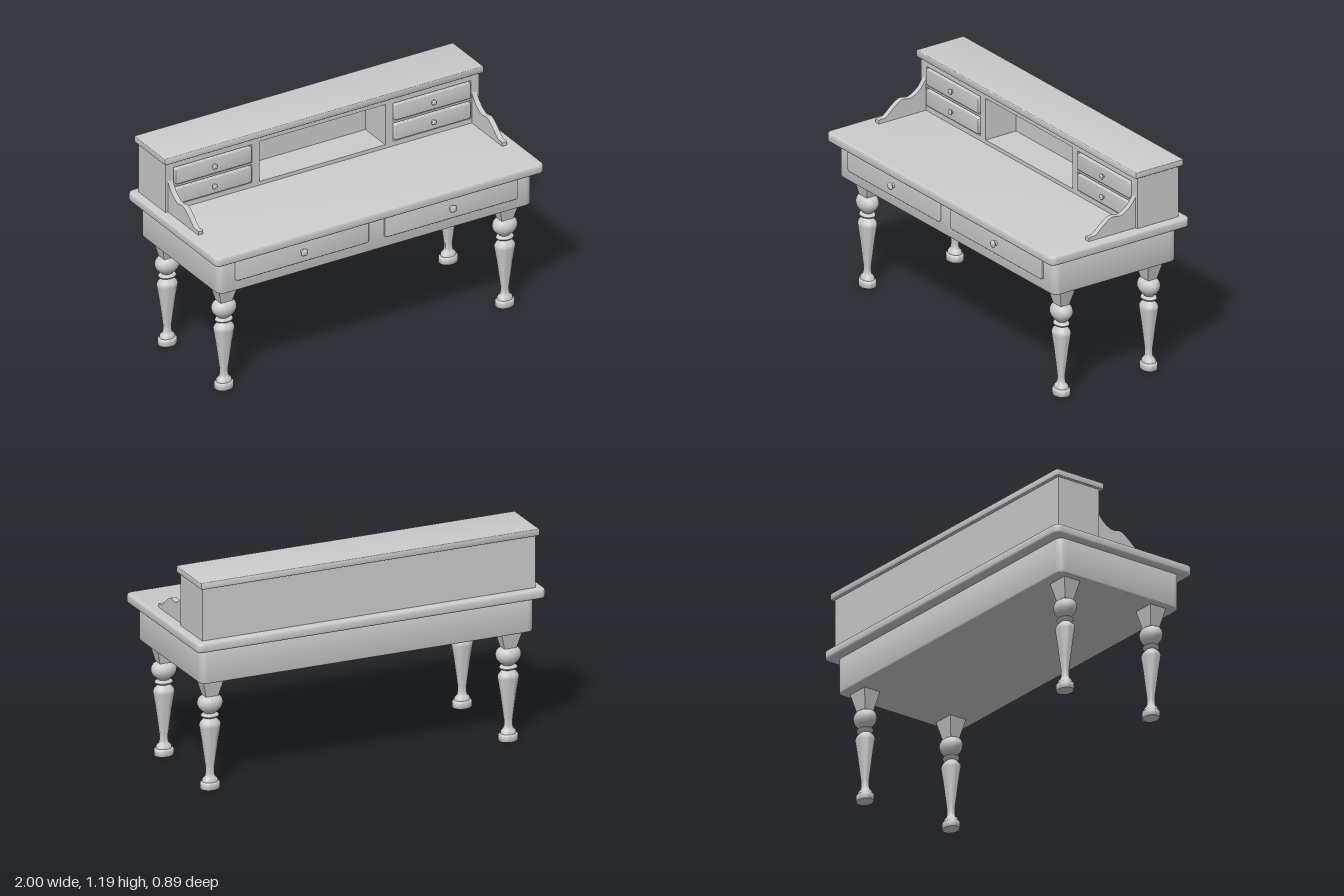
import * as THREE from 'three';
import { toCreasedNormals } from 'three/addons/utils/BufferGeometryUtils.js';

const material = new THREE.MeshStandardMaterial({ color: 0xcccccc });

function add(parent, name, geometry, x = 0, y = 0, z = 0) {
  const mesh = new THREE.Mesh(geometry, material);
  mesh.name = name;
  mesh.position.set(x, y, z);
  parent.add(mesh);
  return mesh;
}

// Box between two limits on each axis
function block(parent, name, x0, x1, y0, y1, z0, z1) {
  return add(parent, name, new THREE.BoxGeometry(x1 - x0, y1 - y0, z1 - z0),
    (x0 + x1) / 2, (y0 + y1) / 2, (z0 + z1) / 2);
}

// Centred slab along z with rounded corners and softened edges
function slab(w, h, d, r, bevel) {
  const x = w / 2 - bevel, y = h / 2 - bevel;
  const s = new THREE.Shape();
  s.moveTo(-x + r, -y);
  s.lineTo(x - r, -y);
  s.quadraticCurveTo(x, -y, x, -y + r);
  s.lineTo(x, y - r);
  s.quadraticCurveTo(x, y, x - r, y);
  s.lineTo(-x + r, y);
  s.quadraticCurveTo(-x, y, -x, y - r);
  s.lineTo(-x, -y + r);
  s.quadraticCurveTo(-x, -y, -x + r, -y);
  const geo = new THREE.ExtrudeGeometry(s, {
    depth: d - 2 * bevel, bevelThickness: bevel, bevelSize: bevel, bevelSegments: 3, curveSegments: 6,
  });
  geo.translate(0, 0, bevel - d / 2);
  return toCreasedNormals(geo, 0.7);
}

function lathe(points, segments) {
  const geo = new THREE.LatheGeometry(points.map(([r, y]) => new THREE.Vector2(r, y)), segments);
  return toCreasedNormals(geo.toNonIndexed(), 0.75);
}

function rectHole(x0, x1, y0, y1) {
  const p = new THREE.Path();
  p.moveTo(x0, y0);
  p.lineTo(x0, y1);
  p.lineTo(x1, y1);
  p.lineTo(x1, y0);
  p.closePath();
  return p;
}

const knobGeo = lathe([[0, 0], [0.014, 0], [0.013, 0.004], [0.008, 0.008], [0.008, 0.013], [0.018, 0.017],
  [0.021, 0.021], [0.019, 0.025], [0.011, 0.029], [0, 0.031]], 20).rotateX(Math.PI / 2);

// Drawer front with a centred knob
function drawer(parent, name, x, y, zBack, zFront, w, h, knobScale) {
  const g = new THREE.Group();
  g.name = name;
  add(g, 'drawerFront', slab(w, h, zFront - zBack, 0.01, 0.006), x, y, (zBack + zFront) / 2);
  add(g, 'knob', knobGeo, x, y, zFront - 0.002).scale.setScalar(knobScale);
  parent.add(g);
}

// Turned leg outline from foot to bulb
const legGeo = lathe([
  [0, 0], [0.041, 0], [0.043, 0.004], [0.043, 0.033], [0.04, 0.038],
  [0.034, 0.04], [0.034, 0.052], [0.029, 0.06], [0.022, 0.068], [0.019, 0.085], [0.019, 0.115],
  [0.026, 0.18], [0.036, 0.27], [0.046, 0.345], [0.047, 0.355], [0.043, 0.367], [0.032, 0.382], [0.024, 0.39],
  [0.03, 0.393], [0.037, 0.397], [0.04, 0.404], [0.037, 0.411], [0.03, 0.415], [0.024, 0.417],
  [0.027, 0.422], [0.04, 0.434], [0.05, 0.449], [0.055, 0.464], [0.056, 0.477], [0.053, 0.493],
  [0.046, 0.505], [0.034, 0.514], [0, 0.516]], 32);

// Square block tapering down to the turning
const legBlockGeo = new THREE.CylinderGeometry(0.051 * Math.SQRT2, 0.028 * Math.SQRT2, 0.11, 4, 1)
  .toNonIndexed().rotateY(Math.PI / 4);
legBlockGeo.computeVertexNormals();

export function createModel() {
  const desk = new THREE.Group();
  desk.name = 'writingDesk';

  // Legs, slightly wider across than deep
  for (const sx of [-1, 1]) for (const sz of [-1, 1]) {
    const leg = new THREE.Group();
    leg.name = sz > 0 ? 'frontLeg' : 'backLeg';
    add(leg, 'turnedLeg', legGeo);
    add(leg, 'legBlock', legBlockGeo, 0, 0.569, 0);
    leg.position.set(sx * 0.855, 0, sz * 0.28);
    leg.scale.x = 1.25;
    desk.add(leg);
  }

  // Apron and writing surface
  add(desk, 'apron', slab(1.91, 0.785, 0.2, 0.035, 0.008).rotateX(Math.PI / 2), 0, 0.719, 0.002);
  add(desk, 'desktop', slab(2, 0.89, 0.052, 0.025, 0.012).rotateX(Math.PI / 2), 0, 0.839, 0);
  for (const s of [-1, 1]) drawer(desk, 'apronDrawer', s * 0.453, 0.745, 0.385, 0.407, 0.81, 0.13, 1);

  // Upper cabinet with a central cubby and drawer openings
  const hutch = new THREE.Group();
  hutch.name = 'upperCabinet';
  desk.add(hutch);
  const face = new THREE.Shape();
  face.moveTo(-0.955, 0.863);
  face.lineTo(0.955, 0.863);
  face.lineTo(0.955, 1.157);
  face.lineTo(-0.955, 1.157);
  face.closePath();
  face.holes.push(rectHole(-0.383, 0.383, 0.886, 1.122));
  const rows = [0.946, 1.063], w = 0.466, h = 0.096, gap = 0.005;
  for (const s of [-1, 1]) for (const y of rows) {
    const x = s * 0.667;
    face.holes.push(rectHole(x - w / 2 - gap, x + w / 2 + gap, y - h / 2 - gap, y + h / 2 + gap));
    drawer(hutch, 'smallDrawer', x, y, -0.32, -0.126, w, h, 0.72);
  }
  add(hutch, 'cabinetFrame', new THREE.ExtrudeGeometry(face, { depth: 0.195, bevelEnabled: false }), 0, 0, -0.33);
  block(hutch, 'cabinetBack', -0.955, 0.955, 0.863, 1.157, -0.4, -0.33);
  add(hutch, 'cabinetTop', slab(1.94, 0.306, 0.036, 0.004, 0.004).rotateX(Math.PI / 2), 0, 1.173, -0.267);

  // Scrolled side brackets: profile drawn with depth along x, then turned
  const scroll = new THREE.Shape();
  scroll.moveTo(-0.14, 0.862);
  scroll.lineTo(0.165, 0.862);
  scroll.lineTo(0.165, 0.885);
  scroll.splineThru([[0.155, 0.888], [0.13, 0.888], [0.11, 0.899], [0.07, 0.933], [0.035, 0.957], [0.01, 0.965],
    [-0.015, 0.961], [-0.04, 0.959], [-0.07, 0.972], [-0.095, 0.99], [-0.115, 1.012], [-0.14, 1.05]]
    .map(([z, y]) => new THREE.Vector2(z, y)));
  scroll.closePath();
  const bracketGeo = toCreasedNormals(new THREE.ExtrudeGeometry(scroll, {
    depth: 0.03, bevelEnabled: false, curveSegments: 30,
  }).translate(0, 0, -0.015).rotateY(-Math.PI / 2), 0.5);
  for (const s of [-1, 1]) add(desk, s > 0 ? 'leftBracket' : 'rightBracket', bracketGeo, s * 0.925, 0, 0);

  return desk;
}
